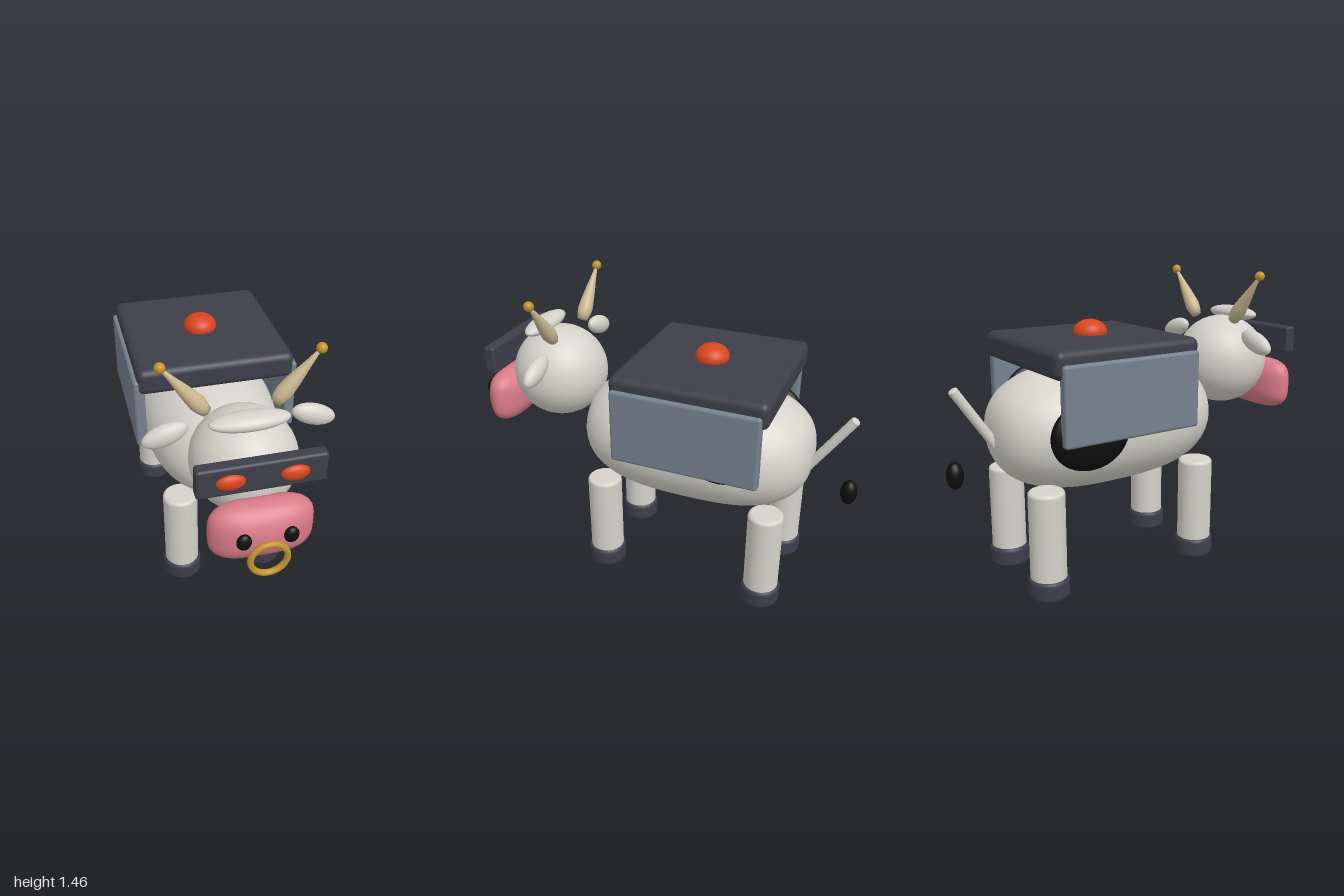
import * as THREE from 'three';
import { RoundedBoxGeometry } from 'three/addons/geometries/RoundedBoxGeometry.js';

const paint = (name, color) => {
  const m = new THREE.MeshStandardMaterial({ color });
  m.name = name;
  return m;
};

export function createModel() {
  const hide = paint('hide white', 0xd4d2ca);
  const black = paint('spot black', 0x0e0e0e);
  const dark = paint('dark armour', 0x3e3e4a);
  const steel = paint('steel blue', 0x76818f);
  const red = paint('signal red', 0xd8461f);
  const pink = paint('muzzle pink', 0xd87a88);
  const gold = paint('gold', 0xc0922c);
  const horn = paint('horn', 0xc8b791);

  const model = new THREE.Group();
  model.name = 'armouredCow';

  const add = (name, geometry, material, x, y, z, parent = model) => {
    const mesh = new THREE.Mesh(geometry, material);
    mesh.name = name;
    mesh.position.set(x, y, z);
    parent.add(mesh);
    return mesh;
  };
  const ellipsoid = (rx, ry, rz) => new THREE.SphereGeometry(1, 32, 20).scale(rx, ry, rz);
  const lathe = (points) => new THREE.LatheGeometry(points.map(([r, y]) => new THREE.Vector2(r, y)), 32);
  // Upright cylinder with rounded rims, standing on y = 0
  const roundedCylinder = (r, h, b) => {
    const pts = [[0, 0]];
    for (let i = 0; i <= 5; i++) {
      const a = (i / 5) * Math.PI / 2;
      pts.push([r - b + b * Math.sin(a), b - b * Math.cos(a)]);
    }
    for (let i = 0; i <= 5; i++) {
      const a = (i / 5) * Math.PI / 2;
      pts.push([r - b + b * Math.cos(a), h - b + b * Math.sin(a)]);
    }
    pts.push([0, h]);
    return lathe(pts);
  };

  // Body: superellipse barrel lying along z
  const barrel = [];
  const n = 2.75;
  for (let i = 0; i <= 40; i++) {
    const a = -Math.PI / 2 + (i / 40) * Math.PI;
    const s = Math.sin(a);
    barrel.push([
      Math.pow(Math.max(0, Math.cos(a)), 2 / n),
      Math.sign(s) * Math.pow(Math.abs(s), 2 / n),
    ]);
  }
  barrel[0][0] = barrel[40][0] = 0;
  const bodyGeo = lathe(barrel).rotateX(Math.PI / 2).scale(0.345, 0.31, 0.58);
  add('body', bodyGeo, hide, 0, 0.752, -0.19);

  // Hide spots on the flanks
  add('leftSpot', ellipsoid(0.05, 0.16, 0.2), black, 0.31, 0.85, -0.37);
  add('rightSpot', ellipsoid(0.06, 0.165, 0.2), black, -0.33, 0.785, -0.44);

  // Legs and hooves
  for (const x of [-0.22, 0.22]) {
    for (const z of [0.24, -0.615]) {
      add('leg', roundedCylinder(0.086, 0.445, 0.018), hide, x, 0.08, z);
      add('hoof', roundedCylinder(0.098, 0.102, 0.022), dark, x, 0.004, z);
    }
  }

  // Armour: roof slab, side panels and signal dome
  add('roofPlate', new RoundedBoxGeometry(0.76, 0.13, 0.755, 4, 0.035), dark, 0, 1.115, -0.25);
  for (const s of [-1, 1]) {
    add('sidePanel', new RoundedBoxGeometry(0.054, 0.365, 0.715, 3, 0.015), steel, s * 0.373, 0.938, -0.245);
  }
  add('signalDome', ellipsoid(0.082, 0.06, 0.082), red, 0, 1.19, -0.245);

  // Head
  const head = new THREE.Group();
  head.name = 'head';
  model.add(head);
  add('skull', ellipsoid(0.24, 0.235, 0.242), hide, 0, 0.978, 0.58, head);
  add('forelock', ellipsoid(0.175, 0.038, 0.06), hide, 0, 1.222, 0.655, head);

  // Muzzle: squarish from the front, oval from the side
  const muzzleGeo = new THREE.SphereGeometry(1, 48, 24).rotateX(Math.PI / 2);
  const p = muzzleGeo.attributes.position;
  for (let i = 0; i < p.count; i++) {
    const x = p.getX(i), y = p.getY(i);
    const r = Math.hypot(x, y);
    const k = r < 1e-5 ? 1 : r / Math.pow(Math.abs(x) ** 3.6 + Math.abs(y) ** 3.6, 1 / 3.6);
    p.setXY(i, x * k, y * k);
  }
  muzzleGeo.scale(0.228, 0.137, 0.105);
  muzzleGeo.computeVertexNormals();
  add('muzzle', muzzleGeo, pink, 0, 0.828, 0.855, head);
  add('noseRing', new THREE.TorusGeometry(0.079, 0.014, 14, 40), gold, 0, 0.763, 0.985, head);
  add('visor', new RoundedBoxGeometry(0.546, 0.14, 0.06, 3, 0.014), dark, 0, 1.09, 0.83, head);

  const hornProfile = [[0, 0], [0.026, 0], [0.034, 0.03], [0.038, 0.06], [0.034, 0.1],
    [0.026, 0.16], [0.016, 0.22], [0.008, 0.28], [0, 0.282]];
  for (const s of [-1, 1]) {
    add('nostril', ellipsoid(0.032, 0.039, 0.022), black, s * 0.1, 0.85, 0.957, head);
    add('eye', ellipsoid(0.061, 0.037, 0.025), red, s * 0.133, 1.09, 0.86, head);
    add('ear', ellipsoid(0.105, 0.05, 0.04), hide, s * 0.33, 1.112, 0.525, head).rotation.z = -s * 0.33;
    add('horn', lathe(hornProfile), horn, s * 0.152, 1.205, 0.525, head).rotation.z = -s * 0.67;
    add('hornKnob', ellipsoid(0.024, 0.024, 0.024), gold, s * 0.338, 1.44, 0.525, head);
  }

  // Tail rod and separate black tassel
  const tail = add('tail', roundedCylinder(0.023, 0.36, 0.008), hide, 0, 0.69, -0.745);
  tail.rotation.x = -0.59;
  add('tailTassel', ellipsoid(0.04, 0.064, 0.04), black, 0, 0.598, -0.957);

  return model;
}
